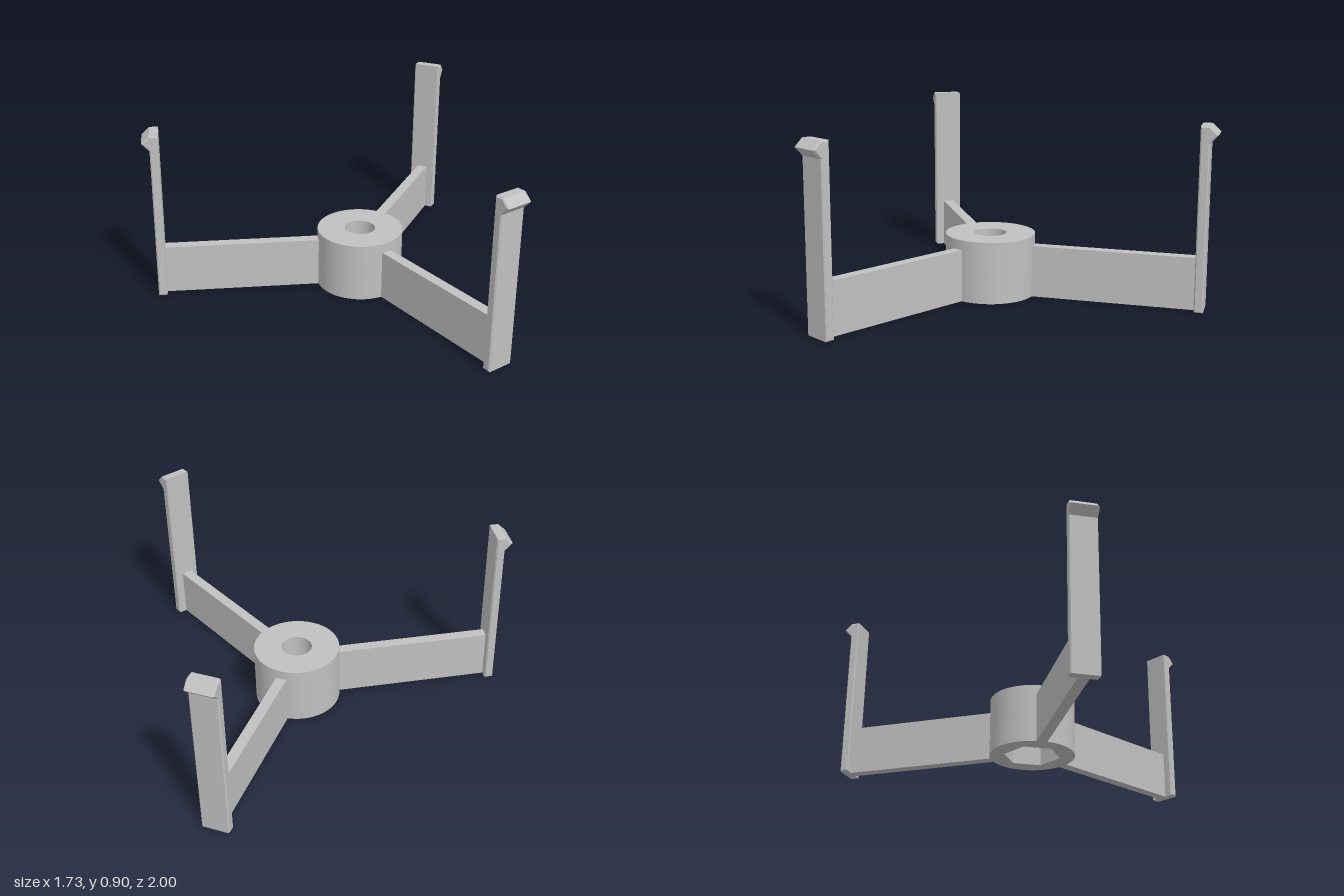
import * as THREE from 'three';
import { toCreasedNormals } from 'three/addons/utils/BufferGeometryUtils.js';

const HUB_X = 0.245, HUB_R = 0.225, HUB_H = 0.31, POCKET_H = 0.11;

// Horizontal slab of the hub with a hole, extruded upwards from y0 to y1
function hubSlab(hole, y0, y1) {
  const shape = new THREE.Shape().absarc(0, 0, HUB_R, 0, Math.PI * 2);
  shape.holes.push(hole);
  const geo = new THREE.ExtrudeGeometry(shape, { depth: y1 - y0, bevelEnabled: false, curveSegments: 40 });
  geo.rotateX(-Math.PI / 2).translate(0, y0, 0);
  return toCreasedNormals(geo, 0.5);
}

export function createModel() {
  const grey = new THREE.MeshStandardMaterial({ color: 0xc0c0c0 });
  grey.name = 'light grey';

  const model = new THREE.Group();
  model.name = 'threeArmHolder';
  const add = (parent, name, geo) => {
    const mesh = new THREE.Mesh(geo, grey);
    mesh.name = name;
    parent.add(mesh);
    return mesh;
  };

  // Hub: round bore above, hexagonal nut pocket below
  const hub = new THREE.Group();
  hub.name = 'hub';
  hub.position.x = HUB_X;
  model.add(hub);
  const bore = new THREE.Path().absarc(0, 0, 0.08, 0, Math.PI * 2, true);
  const hex = new THREE.Path();
  for (let i = 0; i <= 6; i++) {
    const a = Math.PI / 6 - i * Math.PI / 3;
    hex[i ? 'lineTo' : 'moveTo'](0.15 * Math.cos(a), 0.15 * Math.sin(a));
  }
  add(hub, 'hubTop', hubSlab(bore, POCKET_H, HUB_H));
  add(hub, 'hubNutPocket', hubSlab(hex, 0, POCKET_H));

  // Arm: thin upright plate from the hub to the post
  const armGeo = new THREE.BoxGeometry(0.845, 0.26, 0.056).translate(0.6225, 0.13, 0);

  // Post with an outward hook at the top, edges slightly chamfered
  const profile = new THREE.Shape([
    [1.03, 0], [1.075, 0], [1.075, 0.82], [1.115, 0.862], [1.075, 0.9], [1.03, 0.9],
  ].map(([r, y]) => new THREE.Vector2(r, y)));
  const width = 0.145, bevel = 0.006;
  const postGeo = new THREE.ExtrudeGeometry(profile, {
    depth: width - 2 * bevel, bevelEnabled: true, bevelSegments: 1,
    bevelThickness: bevel, bevelSize: bevel, bevelOffset: -bevel,
  }).translate(0, 0, -width / 2 + bevel);

  for (const angle of [Math.PI, Math.PI / 3, -Math.PI / 3]) {
    const limb = new THREE.Group();
    limb.name = 'limb';
    limb.position.x = HUB_X;
    limb.rotation.y = angle;
    add(limb, 'arm', armGeo);
    add(limb, 'hookedPost', postGeo);
    model.add(limb);
  }
  return model;
}
